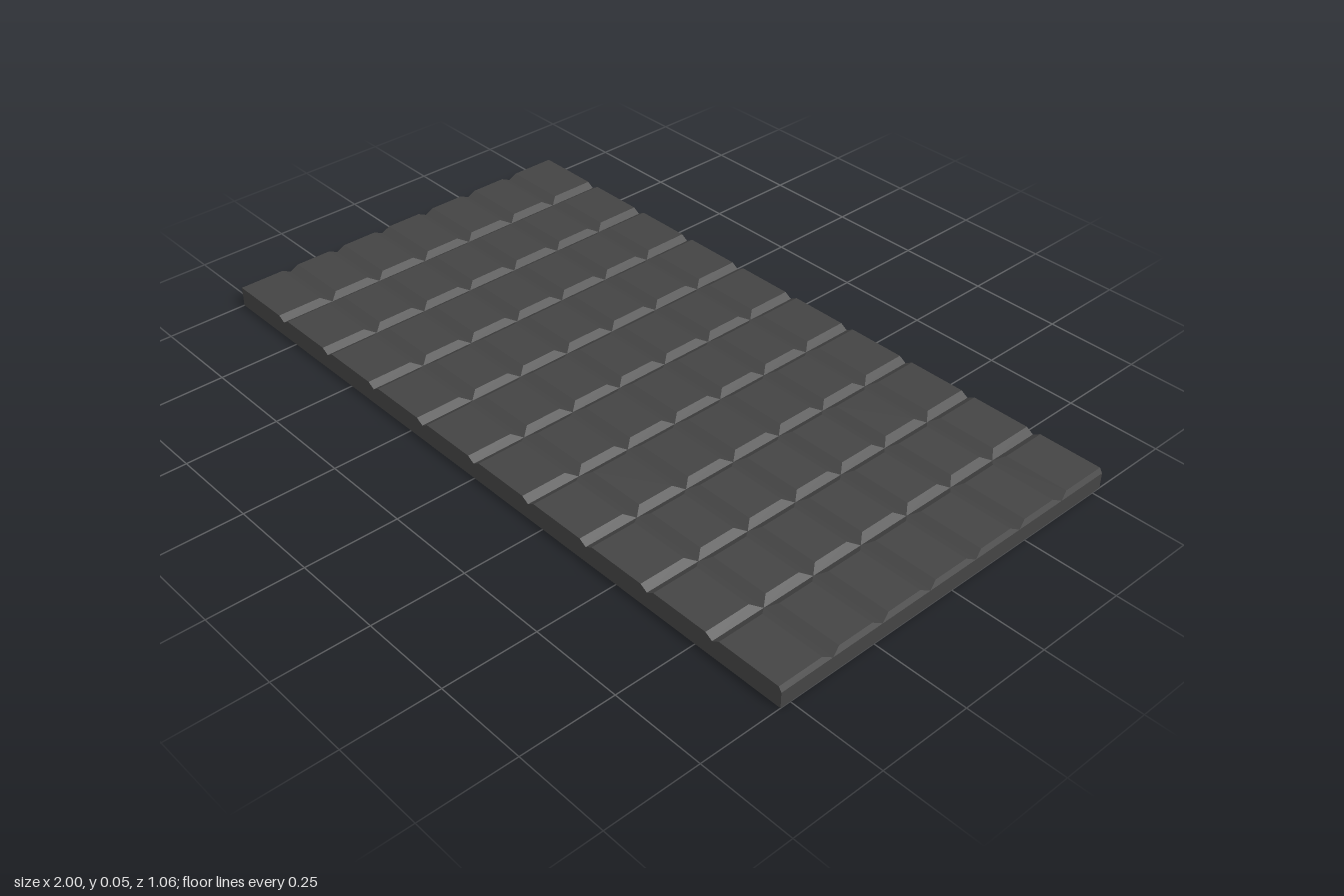
import * as THREE from 'three';
import { mergeGeometries } from 'three/addons/utils/BufferGeometryUtils.js';

const COLS = 10, ROWS = 7;
const WIDTH = 2, DEPTH = 1.056;
const GROOVE_Y = 0.043, TOP_Y = 0.055;
const INSET_X = 0.02, INSET_Z = 0.025, END_CHAMFER = 0.008;

// Box without one of its six faces (order: +x, -x, +y, -y, +z, -z)
function openBox(w, h, d, skippedFace) {
  const geo = new THREE.BoxGeometry(w, h, d);
  const index = Array.from(geo.index.array);
  index.splice(skippedFace * 6, 6);
  geo.setIndex(index);
  geo.clearGroups();
  return geo;
}

// Raised tile: sides slope inward to the top, except on the outer rim
function tile(col, row) {
  const w = WIDTH / COLS, d = DEPTH / ROWS, h = TOP_Y - GROOVE_Y;
  const geo = openBox(w, h, d, 3);
  const inset = {
    left: col === 0 ? 0 : INSET_X,
    right: col === COLS - 1 ? END_CHAMFER : INSET_X,
    back: row === 0 ? 0 : INSET_Z,
    front: row === ROWS - 1 ? 0 : INSET_Z,
  };
  const p = geo.attributes.position;
  for (let i = 0; i < p.count; i++) {
    if (p.getY(i) < 0) continue;
    const x = p.getX(i), z = p.getZ(i);
    p.setX(i, x < 0 ? x + inset.left : x - inset.right);
    p.setZ(i, z < 0 ? z + inset.back : z - inset.front);
  }
  geo.computeVertexNormals();
  return geo.translate((col + 0.5) * w - WIDTH / 2, GROOVE_Y + h / 2, (row + 0.5) * d - DEPTH / 2);
}

export function createModel() {
  const group = new THREE.Group();
  group.name = 'pavedSlab';
  const material = new THREE.MeshStandardMaterial({ color: 0x444444 });

  // Base slab, open under the tiles
  const base = new THREE.Mesh(openBox(WIDTH, GROOVE_Y, DEPTH, 2).translate(0, GROOVE_Y / 2, 0), material);
  base.name = 'baseSlab';
  group.add(base);

  // Grid of bevelled tiles, meeting in V grooves
  const tiles = [];
  for (let row = 0; row < ROWS; row++)
    for (let col = 0; col < COLS; col++) tiles.push(tile(col, row));
  const paving = new THREE.Mesh(mergeGeometries(tiles), material);
  paving.name = 'tiles';
  group.add(paving);

  return group;
}
